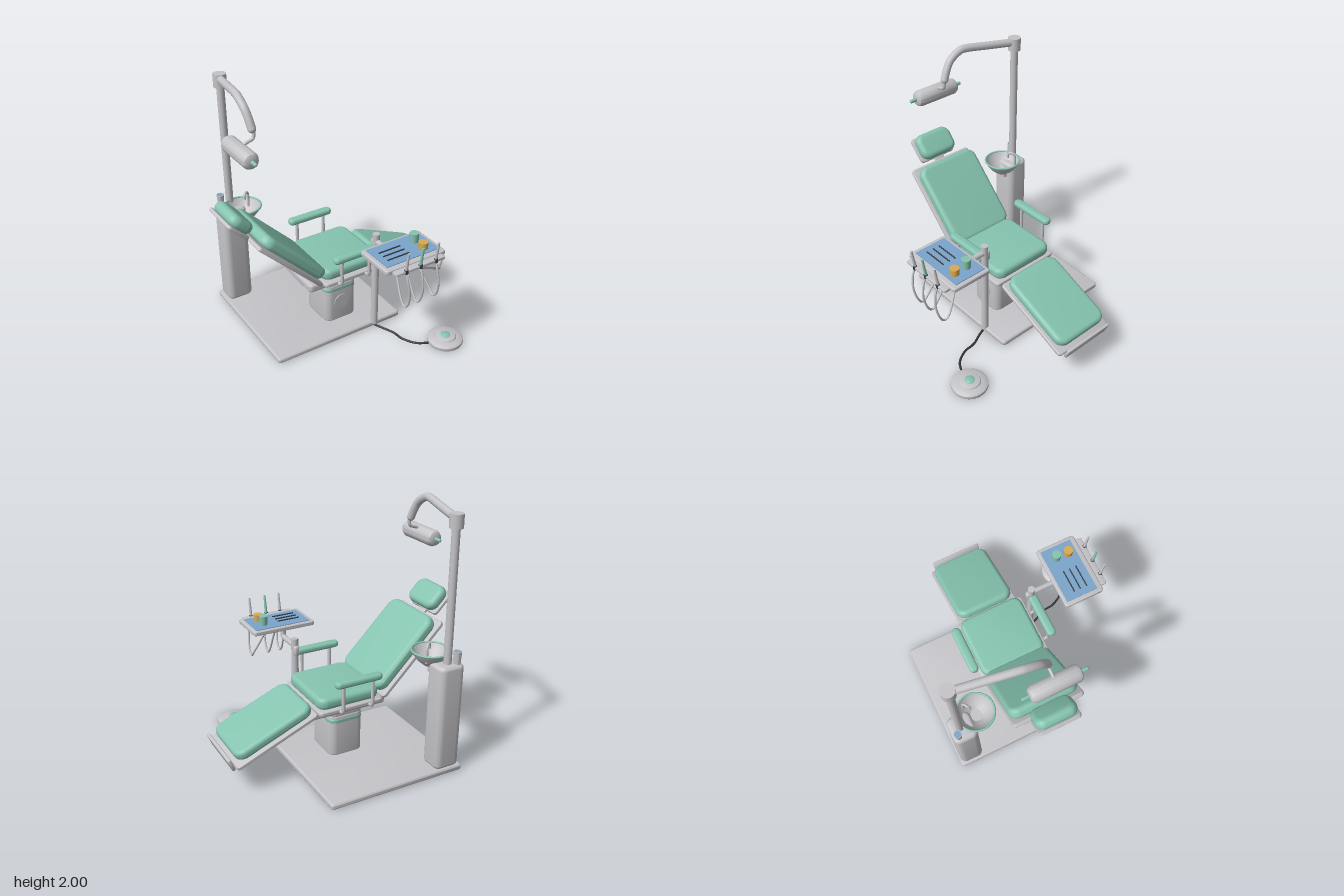
import * as THREE from 'three';
import { toCreasedNormals } from 'three/addons/utils/BufferGeometryUtils.js';

const V = (x, y, z) => new THREE.Vector3(x, y, z);

export function createModel() {
  const root = new THREE.Group();
  root.name = 'dentalChairUnit';
  const material = (name, color, side = THREE.FrontSide) => {
    const m = new THREE.MeshStandardMaterial({ color, side });
    m.name = name;
    return m;
  };
  const grey = material('lightGrey', 0xc4c4c8, THREE.DoubleSide);
  const green = material('mintGreen', 0x86c4b0);
  const blue = material('softBlue', 0x7ba5cc);
  const yellow = material('mustard', 0xd6ab54);
  const dark = material('darkRubber', 0x35373a);

  const add = (name, geo, mat, x = 0, y = 0, z = 0) => {
    const mesh = new THREE.Mesh(geo, mat);
    mesh.name = name;
    mesh.position.set(x, y, z);
    root.add(mesh);
    return mesh;
  };
  // Slab lying flat: w along x, t along y, d along z; rounded in plan and on its edges
  const pad = (name, mat, [x, y, z], [w, t, d], corner, bevel, tilt = 0) => {
    const a = w / 2 - bevel, b = d / 2 - bevel, r = Math.max(corner - bevel, 0.002);
    const s = new THREE.Shape();
    s.absarc(a - r, b - r, r, 0, Math.PI / 2);
    s.absarc(-a + r, b - r, r, Math.PI / 2, Math.PI);
    s.absarc(-a + r, -b + r, r, Math.PI, Math.PI * 1.5);
    s.absarc(a - r, -b + r, r, Math.PI * 1.5, Math.PI * 2);
    s.closePath();
    const depth = t - 2 * bevel;
    const geo = new THREE.ExtrudeGeometry(s, {
      depth, bevelThickness: bevel, bevelSize: bevel, bevelSegments: 5, curveSegments: 6,
    });
    geo.translate(0, 0, -depth / 2).rotateX(-Math.PI / 2);
    const mesh = add(name, toCreasedNormals(geo, 0.7), mat, x, y, z);
    mesh.rotation.z = tilt;
    return mesh;
  };
  const rod = (name, mat, x, y0, y1, z, r, rTop = r) =>
    add(name, new THREE.CylinderGeometry(rTop, r, y1 - y0, 28), mat, x, (y0 + y1) / 2, z);
  const tube = (name, mat, pts, r, n = 40, tension = 0.5) => {
    const curve = new THREE.CatmullRomCurve3(pts.map((p) => V(...p)), false, 'catmullrom', tension);
    return add(name, new THREE.TubeGeometry(curve, n, r, 12), mat);
  };
  const lathe = (name, mat, pts, x, y, z) =>
    add(name, toCreasedNormals(new THREE.LatheGeometry(pts.map((p) => new THREE.Vector2(...p)), 40), 0.6), mat, x, y, z);

  // Floor plate, chair column and lifting collar
  pad('floorPlate', grey, [-0.155, 0.03, -0.29], [1.11, 0.045, 1.06], 0.025, 0.015);
  pad('chairColumn', grey, [-0.035, 0.215, -0.105], [0.28, 0.35, 0.32], 0.06, 0.02);
  pad('columnBand', green, [-0.035, 0.342, -0.105], [0.285, 0.03, 0.325], 0.06, 0.006);
  pad('columnCollar', grey, [-0.035, 0.4, -0.105], [0.275, 0.055, 0.31], 0.05, 0.012);
  const badge = rod('roundBadge', grey, -0.04, -0.004, 0.004, 0, 0.065);
  badge.position.set(-0.04, 0.215, 0.057);
  badge.rotation.x = Math.PI / 2;

  // Seat
  pad('seatCarriage', grey, [-0.025, 0.458, -0.105], [0.635, 0.065, 0.4], 0.03, 0.015);
  pad('seatFrame', grey, [0.003, 0.51, -0.105], [0.525, 0.034, 0.585], 0.03, 0.01);
  pad('seatCushion', green, [0.003, 0.57, -0.11], [0.505, 0.092, 0.54], 0.07, 0.035);

  // Backrest and headrest
  const back = -Math.PI / 4;
  pad('backFrame', grey, [-0.53, 0.772, -0.107], [0.72, 0.032, 0.57], 0.03, 0.01, back);
  pad('backCushion', green, [-0.482, 0.815, -0.107], [0.68, 0.09, 0.55], 0.08, 0.035, back);
  pad('headrestBar', grey, [-0.79, 1.035, -0.107], [0.22, 0.022, 0.09], 0.015, 0.006, back);
  pad('headrestFrame', grey, [-0.87, 1.118, -0.105], [0.21, 0.026, 0.33], 0.03, 0.008, back);
  pad('headrestCushion', green, [-0.832, 1.157, -0.105], [0.21, 0.09, 0.325], 0.07, 0.04, back);

  // Leg rest with foot stop
  const leg = -Math.PI / 8;
  pad('legFrame', grey, [0.58, 0.363, -0.107], [0.69, 0.03, 0.515], 0.025, 0.01, leg);
  pad('legCushion', green, [0.59, 0.42, -0.108], [0.65, 0.08, 0.48], 0.08, 0.033, leg);
  pad('footStop', grey, [0.927, 0.252, -0.107], [0.026, 0.1, 0.43], 0.012, 0.008, leg);

  // Armrests on both sides
  for (const side of [-1, 1]) {
    const z = -0.105 + side * 0.332;
    pad('armrestPad', green, [-0.025, 0.746, z], [0.385, 0.05, 0.072], 0.034, 0.02);
    for (const x of [-0.145, 0.1]) {
      tube('armrestPost', grey, [[x, 0.508, z - side * 0.06], [x, 0.508, z - side * 0.02],
        [x, 0.528, z], [x, 0.6, z], [x, 0.73, z]], 0.013, 30);
    }
  }

  // Service pillar with cup
  pad('servicePillar', grey, [-0.585, 0.465, -0.715], [0.21, 0.83, 0.19], 0.05, 0.03);
  lathe('cup', grey, [[0, 0], [0.024, 0], [0.03, 0.1], [0.026, 0.1], [0.024, 0.08]], -0.64, 0.875, -0.765);
  rod('cupWater', blue, -0.64, 0.955, 0.97, -0.765, 0.026);

  // Spittoon basin, rim, drain and tap
  lathe('basin', grey, [[0, 0], [0.05, 0], [0.095, 0.038], [0.13, 0.085], [0.145, 0.115], [0.136, 0.115],
    [0.118, 0.08], [0.085, 0.042], [0.045, 0.012], [0, 0.01]], -0.54, 0.82, -0.58);
  const rim = add('basinRim', new THREE.TorusGeometry(0.141, 0.008, 10, 48), green, -0.54, 0.934, -0.58);
  rim.rotation.x = Math.PI / 2;
  rod('basinDrain', grey, -0.54, 0.77, 0.825, -0.595, 0.024);
  tube('tap', grey, [[-0.46, 0.87, -0.645], [-0.46, 0.97, -0.645], [-0.468, 1.0, -0.638],
    [-0.487, 1.01, -0.625], [-0.504, 0.997, -0.612], [-0.508, 0.965, -0.608]], 0.01);

  // Lamp pole, arm and head
  rod('lampPole', grey, -0.58, 0.86, 1.9, -0.73, 0.03);
  rod('poleCap', grey, -0.58, 1.87, 1.97, -0.73, 0.05);
  tube('lampArm', grey, [[-0.58, 1.93, -0.73], [-0.624, 1.956, -0.5], [-0.66, 1.977, -0.31], [-0.668, 1.966, -0.24],
    [-0.668, 1.92, -0.165], [-0.662, 1.86, -0.123], [-0.655, 1.79, -0.092]], 0.03, 60);
  add('armEnd', new THREE.SphereGeometry(0.03, 20, 12), grey, -0.655, 1.79, -0.092);
  tube('lampHook', grey, [[-0.648, 1.8, -0.085], [-0.648, 1.75, -0.082], [-0.66, 1.722, -0.082],
    [-0.7, 1.708, -0.082], [-0.74, 1.69, -0.082]], 0.012);
  const head = lathe('lampHead', grey, [[0, -0.187], [0.035, -0.187], [0.052, -0.178], [0.062, -0.155],
    [0.062, 0.155], [0.052, 0.178], [0.035, 0.187], [0, 0.187]], -0.76, 1.65, -0.083);
  head.rotation.x = Math.PI / 2;
  for (const side of [-1, 1]) {
    const handle = add('lampHandle', new THREE.CapsuleGeometry(0.014, 0.06, 6, 16), green, -0.76, 1.65, -0.083 + side * 0.2);
    handle.rotation.x = Math.PI / 2;
  }

  // Tray post and arm
  rod('trayPost', grey, 0.16, 0.03, 0.86, 0.226, 0.028);
  pad('postClamp', grey, [0.16, 0.765, 0.21], [0.04, 0.08, 0.06], 0.015, 0.008);
  tube('trayArm', grey, [[0.16, 0.797, 0.226], [0.16, 0.797, 0.32], [0.16, 0.797, 0.405],
    [0.16, 0.812, 0.433], [0.16, 0.87, 0.437]], 0.022);

  // Tray with mat, probes and pots
  pad('tray', grey, [0.16, 0.876, 0.558], [0.525, 0.036, 0.33], 0.025, 0.012);
  add('trayMat', new THREE.BoxGeometry(0.46, 0.006, 0.26), blue, 0.162, 0.896, 0.55);
  for (const z of [0.508, 0.56, 0.615]) {
    const probe = rod('probe', dark, 0.077, -0.0925, 0.0925, z, 0.005);
    probe.position.y = 0.903;
    probe.rotation.z = Math.PI / 2;
  }
  rod('greenPot', green, 0.295, 0.895, 0.972, 0.51, 0.032, 0.035);
  rod('yellowPot', yellow, 0.295, 0.895, 0.95, 0.615, 0.036);

  // Instrument holder, handpieces and hoses
  pad('instrumentHolder', grey, [0.162, 0.872, 0.742], [0.435, 0.024, 0.06], 0.015, 0.008);
  [[0.035, 0.06, 0.09, grey], [0.16, 0.168, 0.175, green], [0.295, 0.315, 0.245, grey]].forEach(([x, xLow, xEnd, mat]) => {
    const piece = add('handpiece', new THREE.CylinderGeometry(0.008, 0.012, 0.16, 16), mat, x, 0.952, 0.772);
    piece.rotation.x = 0.15;
    add('handpieceCollar', new THREE.CylinderGeometry(0.015, 0.015, 0.03, 16), dark, x, 0.873, 0.762);
    tube('hose', grey, [[x, 0.87, 0.765], [x, 0.8, 0.788], [(x + xLow) / 2, 0.7, 0.798], [xLow, 0.595, 0.772],
      [xLow, 0.548, 0.73], [xLow, 0.59, 0.685], [(xLow + xEnd) / 2, 0.72, 0.61], [xEnd, 0.865, 0.53]], 0.008, 60);
  });

  // Foot pedal and its cable
  lathe('footPedal', grey, [[0, 0], [0.135, 0], [0.14, 0.012], [0.138, 0.028], [0.125, 0.038], [0.085, 0.044],
    [0.08, 0.054], [0.07, 0.058], [0, 0.058]], 0.515, 0.003, 0.683);
  lathe('pedalButton', green, [[0.038, 0], [0.038, 0.006], [0.03, 0.011], [0, 0.012]], 0.515, 0.058, 0.683);
  tube('pedalCable', dark, [[0.14, 0.018, 0.2], [0.18, 0.018, 0.3], [0.225, 0.014, 0.4],
    [0.24, 0.014, 0.5], [0.3, 0.014, 0.6], [0.4, 0.016, 0.66]], 0.009);

  return root;
}
